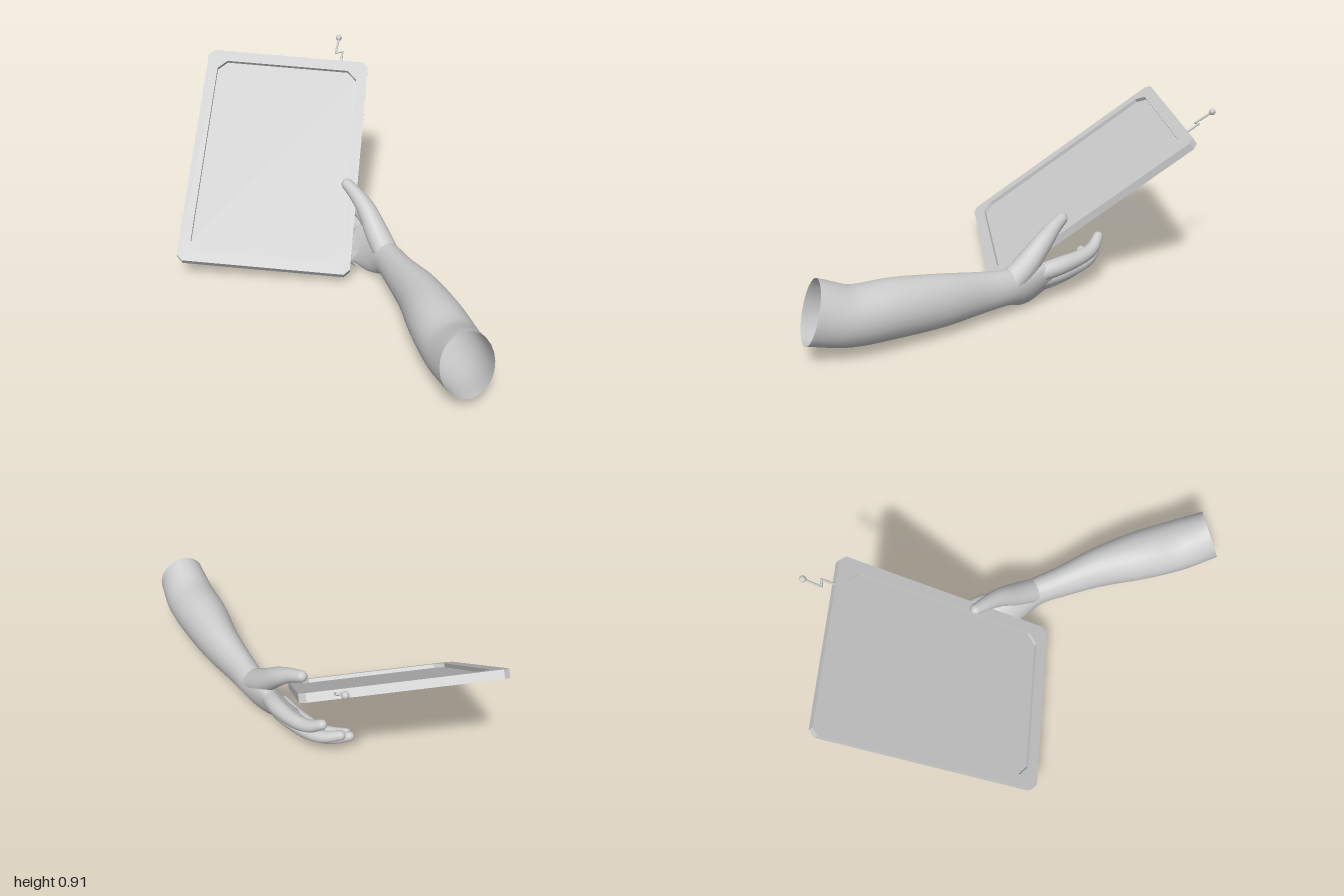
import * as THREE from 'three';

const material = new THREE.MeshStandardMaterial({ color: 0xcccccc, side: THREE.DoubleSide });
const V = (x, y, z) => new THREE.Vector3(x, y, z);

// Skin over elliptical sections: each is [centre, half-axis vector, other half-width].
function loft(sections, steps, sides) {
  const spline = (i) => new THREE.CatmullRomCurve3(
    sections.map((s) => (i === 2 ? V(s[2], 0, 0) : V(...s[i]))), false, 'catmullrom', 0.5);
  const [centres, axes, widths] = [0, 1, 2].map(spline);
  const positions = [];
  const index = [];
  const capSteps = 5;
  const rings = steps + capSteps;
  for (let i = 0; i <= rings; i++) {
    const t = Math.min(i / steps, 1);
    // beyond the last section the skin closes in a rounded cap
    const angle = Math.max(0, i - steps) / capSteps * Math.PI / 2;
    const c = centres.getPoint(t);
    const d = centres.getTangent(t);
    const a = axes.getPoint(t);
    const w = widths.getPoint(t).x;
    const length = a.length();
    a.addScaledVector(d, -a.dot(d)).normalize();
    const b = d.clone().cross(a);
    c.addScaledVector(d, w * Math.sin(angle));
    const shrink = Math.max(Math.cos(angle), 0.01);
    for (let j = 0; j < sides; j++) {
      const th = j / sides * Math.PI * 2;
      const p = c.clone()
        .addScaledVector(a, Math.cos(th) * length * shrink)
        .addScaledVector(b, Math.sin(th) * w * shrink);
      positions.push(p.x, p.y, p.z);
      if (i < rings) {
        const k = i * sides + j;
        const n = i * sides + (j + 1) % sides;
        index.push(k, n, k + sides, n, n + sides, k + sides);
      }
    }
  }
  const g = new THREE.BufferGeometry();
  g.setAttribute('position', new THREE.Float32BufferAttribute(positions, 3));
  g.setIndex(index);
  g.computeVertexNormals();
  return g;
}

// Rectangle with cut corners, centred on the origin.
function cutRectangle(w, h, r, Type) {
  const x = w / 2;
  const y = h / 2;
  return new Type([[x - r, -y], [x, -y + r], [x, y - r], [x - r, y],
    [-x + r, y], [-x, y - r], [-x, -y + r], [-x + r, -y]]
    .map(([px, py]) => new THREE.Vector2(px, py)));
}

function add(parent, name, geometry) {
  const mesh = new THREE.Mesh(geometry, material);
  mesh.name = name;
  parent.add(mesh);
  return mesh;
}

function makeTablet() {
  const tablet = new THREE.Group();
  tablet.name = 'tablet';
  const w = 0.89;
  const h = 1.245;
  const depth = 0.02;

  // back slab, whose front is the sunken screen
  const slab = cutRectangle(w, h, 0.03, THREE.Shape);
  add(tablet, 'screenSlab', new THREE.ExtrudeGeometry(slab, { depth, bevelEnabled: false }))
    .position.z = -2 * depth;

  // raised frame around the screen
  const frame = cutRectangle(w, h, 0.03, THREE.Shape);
  frame.holes.push(cutRectangle(w - 0.12, h - 0.125, 0.05, THREE.Path));
  add(tablet, 'screenFrame', new THREE.ExtrudeGeometry(frame, { depth, bevelEnabled: false }))
    .position.z = -depth;

  // tilt: width axis, height axis and the direction the screen faces
  const u = V(0.994, -0.062, -0.09).normalize();
  const n = u.clone().cross(V(-0.04, 0.587, -0.81)).normalize();
  const v = n.clone().cross(u);
  tablet.quaternion.setFromRotationMatrix(new THREE.Matrix4().makeBasis(u, v, n));
  tablet.position.set(-0.368, 0.474, -0.315);
  return tablet;
}

// Zigzag rod with a ball on its end
function makeAntenna() {
  const antenna = new THREE.Group();
  antenna.name = 'antenna';
  const points = [V(-0.1, 0.8, -0.845), V(-0.102, 0.848, -0.91),
    V(-0.137, 0.842, -0.9), V(-0.133, 0.9, -0.98)];
  for (let i = 0; i < 3; i++) {
    const path = new THREE.LineCurve3(points[i], points[i + 1]);
    add(antenna, 'antennaRod', new THREE.TubeGeometry(path, 1, 0.006, 8));
    add(antenna, 'antennaJoint', new THREE.SphereGeometry(0.006, 8, 6)).position.copy(points[i]);
  }
  add(antenna, 'antennaBall', new THREE.SphereGeometry(0.017, 16, 12)).position.copy(points[3]);
  return antenna;
}

function makeArm() {
  const arm = new THREE.Group();
  arm.name = 'arm';

  // open forearm running through the wrist into the palm
  add(arm, 'forearmAndPalm', loft([
    [[0.715, 0.25, 0.94], [0, 0.157, 0], 0.125],
    [[0.65, 0.197, 0.78], [0, 0.142, 0], 0.138],
    [[0.56, 0.188, 0.585], [0, 0.143, 0], 0.132],
    [[0.465, 0.172, 0.38], [0, 0.13, 0], 0.105],
    [[0.36, 0.155, 0.2], [0, 0.105, 0], 0.08],
    [[0.285, 0.145, 0.07], [0.005, 0.092, 0], 0.07],
    [[0.2, 0.122, -0.04], [0.03, 0.11, -0.03], 0.062],
    [[0.1, 0.112, -0.15], [0.062, 0.083, -0.058], 0.042],
  ], 56, 24));

  // each point is x, y, z, radius
  const digits = {
    thumb: [[0.275, 0.165, 0.05, 0.065], [0.215, 0.23, -0.03, 0.062], [0.15, 0.315, -0.11, 0.05],
      [0.085, 0.37, -0.17, 0.038], [0.03, 0.4, -0.218, 0.03]],
    indexFinger: [[0.19, 0.175, -0.1, 0.045], [0.145, 0.195, -0.21, 0.045], [0.07, 0.205, -0.315, 0.038],
      [0, 0.22, -0.378, 0.033], [-0.065, 0.258, -0.415, 0.026]],
    middleFinger: [[0.17, 0.13, -0.1, 0.045], [0.11, 0.135, -0.205, 0.043], [0.01, 0.14, -0.325, 0.036],
      [-0.07, 0.155, -0.385, 0.032], [-0.155, 0.185, -0.412, 0.026]],
    ringFinger: [[0.14, 0.09, -0.06, 0.042], [0.065, 0.085, -0.17, 0.041], [-0.05, 0.08, -0.285, 0.035],
      [-0.125, 0.092, -0.325, 0.031], [-0.205, 0.12, -0.345, 0.025]],
    littleFinger: [[0.13, 0.07, -0.02, 0.045], [0.04, 0.045, -0.11, 0.04], [-0.065, 0.04, -0.2, 0.033],
      [-0.125, 0.047, -0.23, 0.029], [-0.195, 0.065, -0.255, 0.023]],
  };
  for (const [name, points] of Object.entries(digits)) {
    add(arm, name, loft(points.map(([x, y, z, r]) => [[x, y, z], [0, r, 0], r]), 24, 14));
  }
  return arm;
}

export function createModel() {
  const model = new THREE.Group();
  model.name = 'handHoldingTablet';
  model.add(makeTablet(), makeAntenna(), makeArm());
  return model;
}
